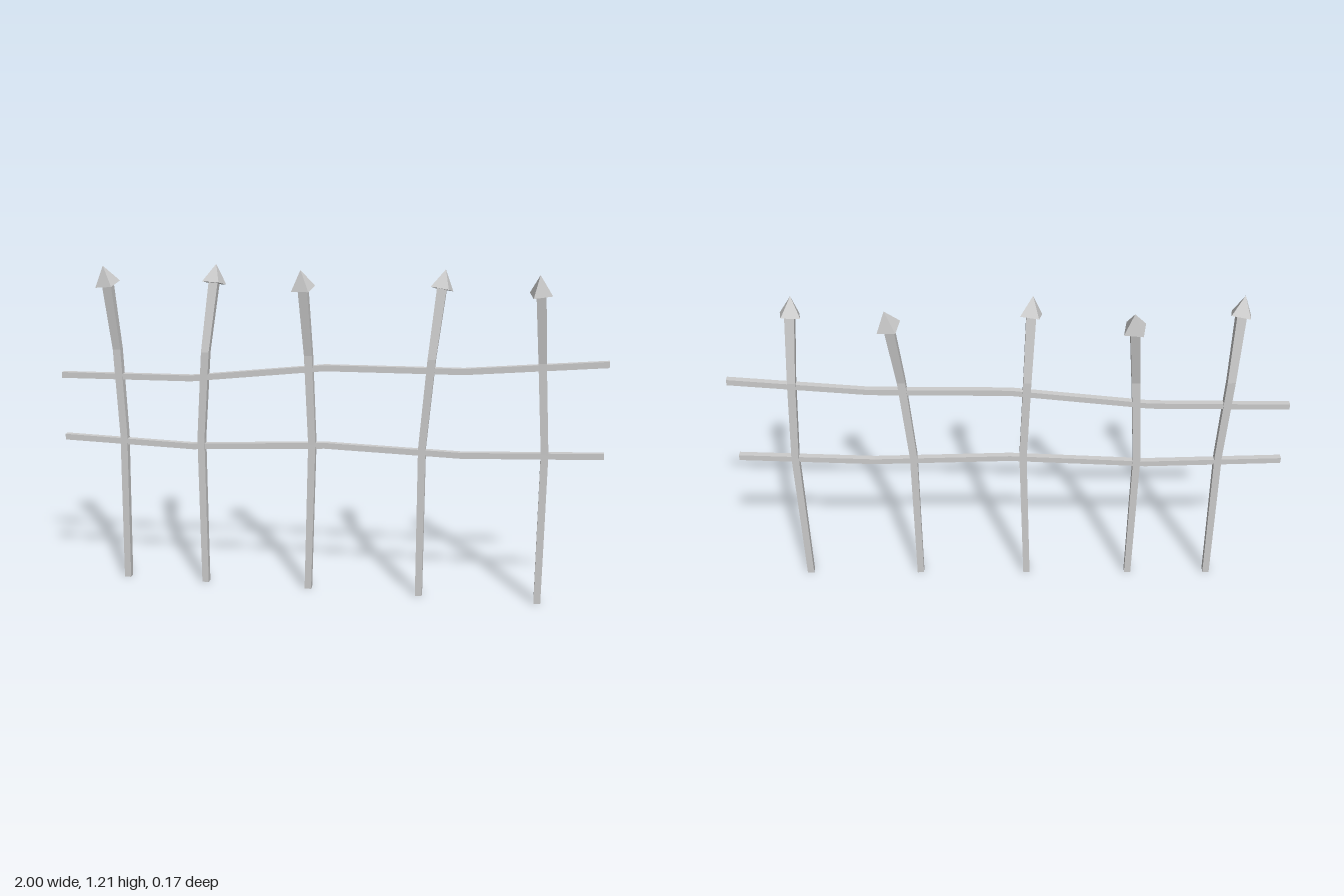
import * as THREE from 'three';

const material = new THREE.MeshStandardMaterial({ color: 0xcccccc, flatShading: true });
const Z = 0.007; // shared depth of rails and straight post sections

// Square bar: a segmented box whose rings are moved onto path points.
// axis is the long direction ('x' or 'y'); each path point is [x, y, z, width].
function bar(path, axis) {
  const n = path.length - 1;
  const geo = axis === 'y'
    ? new THREE.BoxGeometry(1, n, 1, 1, n, 1)
    : new THREE.BoxGeometry(n, 1, 1, n, 1, 1);
  const pos = geo.attributes.position;
  const v = new THREE.Vector3();
  for (let i = 0; i < pos.count; i++) {
    v.fromBufferAttribute(pos, i);
    const [x, y, z, w] = path[Math.round(v[axis] + n / 2)];
    v[axis] = 0;
    pos.setXYZ(i, x + v.x * w, y + v.y * w, z + v.z * w);
  }
  geo.computeVertexNormals();
  return new THREE.Mesh(geo, material);
}

// Four-sided spearhead from the centre of its base to its tip
function spearHead(base, tip, yaw) {
  const dir = tip.clone().sub(base);
  const height = dir.length();
  const geo = new THREE.ConeGeometry(0.047, height, 4);
  geo.rotateY(Math.PI / 4 + yaw);
  geo.translate(0, height / 2, 0);
  const head = new THREE.Mesh(geo, material);
  head.position.copy(base);
  head.quaternion.setFromUnitVectors(new THREE.Vector3(0, 1, 0), dir.normalize());
  return head;
}

// x at ground, lower rail, bend and neck; z at neck; tip x and z; head yaw
const posts = [
  { x: [-0.777, -0.767, -0.78, -0.793], z: 0.045, tip: [-0.803, 0.06], yaw: -0.2 },
  { x: [-0.465, -0.467, -0.443, -0.42], z: -0.05, tip: [-0.415, -0.066], yaw: -0.2 },
  { x: [-0.064, -0.047, -0.06, -0.072], z: 0.045, tip: [-0.078, 0.06], yaw: -0.2 },
  { x: [0.356, 0.357, 0.385, 0.412], z: -0.032, tip: [0.423, -0.045], yaw: -0.2 },
  { x: [0.793, 0.794, 0.772, 0.756], z: 0.045, tip: [0.75, 0.06], yaw: 0.2 },
];
const heights = [0, 0.57, 0.9, 1.15];
const widths = [0.025, 0.027, 0.029, 0.034];

// Rail heights at evenly spaced x from -1 to 1
const rails = {
  upperRail: [0.795, 0.8, 0.856, 0.86, 0.903],
  lowerRail: [0.555, 0.54, 0.566, 0.552, 0.572],
};

export function createModel() {
  const model = new THREE.Group();
  model.name = 'bentFence';

  // Bent posts with spearheads
  posts.forEach((p, i) => {
    const group = new THREE.Group();
    group.name = `post${i + 1}`;
    const path = p.x.map((x, k) => [x, heights[k], k === 3 ? p.z : Z, widths[k]]);
    const shaft = bar(path, 'y');
    shaft.name = 'shaft';
    const head = spearHead(
      new THREE.Vector3(p.x[3], 1.145, p.z),
      new THREE.Vector3(p.tip[0], 1.213, p.tip[1]),
      p.yaw,
    );
    head.name = 'spearHead';
    group.add(shaft, head);
    model.add(group);
  });

  // Warped horizontal rails
  for (const [name, ys] of Object.entries(rails)) {
    const rail = bar(ys.map((y, k) => [-1 + k * 0.5, y, Z, 0.022]), 'x');
    rail.name = name;
    model.add(rail);
  }
  return model;
}
